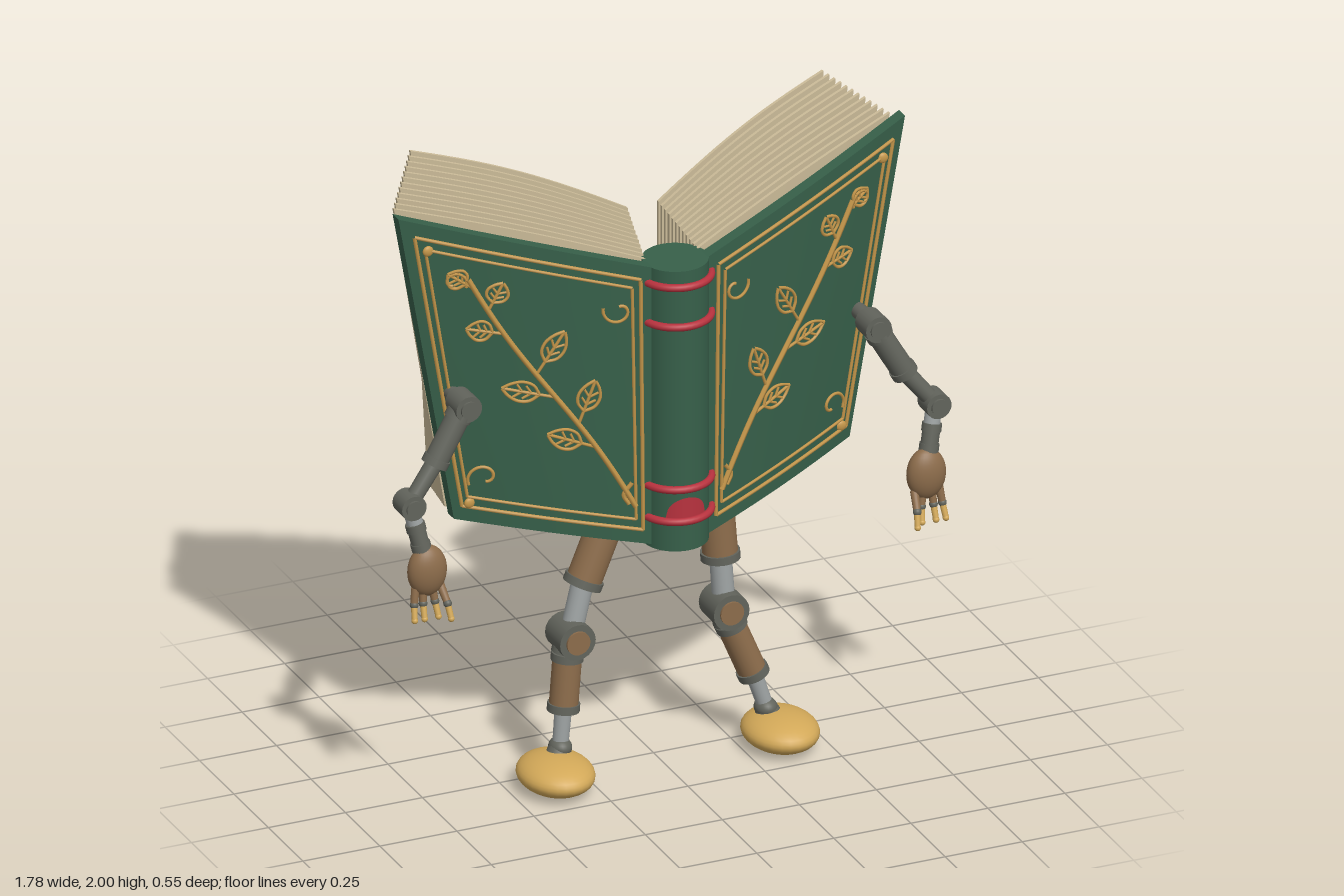
import * as THREE from 'three';

const mat = (name, color) => {
  const m = new THREE.MeshStandardMaterial({ color });
  m.name = name;
  return m;
};
const V = (x, y, z) => new THREE.Vector3(x, y, z);
const mix = THREE.MathUtils.lerp;

export function createModel() {
  const model = new THREE.Group();
  model.name = 'walkingBook';
  const green = mat('coverGreen', 0x37604a);
  const gold = mat('ornamentGold', 0xc4964a);
  const brass = mat('footBrass', 0xd2a858);
  const red = mat('bandRed', 0xb8323e);
  const cream = mat('pageCream', 0xcdbd9a);
  const wood = mat('limbBrown', 0x8c6c4b);
  const iron = mat('jointGrey', 0x62645c);
  const steel = mat('rodSteel', 0x9da2a2);

  const add = (parent, geo, material, name) => {
    const m = new THREE.Mesh(geo, material);
    m.name = name;
    parent.add(m);
    return m;
  };
  const part = (name) => {
    const g = new THREE.Group();
    g.name = name;
    model.add(g);
    return g;
  };
  // round bar between two points, r0 at a and r1 at b
  const bar = (g, a, b, r0, r1, material, name) => {
    const d = b.clone().sub(a);
    const m = add(g, new THREE.CylinderGeometry(r1, r0, d.length(), 20), material, name);
    m.position.copy(a).add(b).multiplyScalar(0.5);
    m.quaternion.setFromUnitVectors(V(0, 1, 0), d.normalize());
    return m;
  };
  const ball = (g, p, rx, ry, rz, material, name) => {
    const m = add(g, new THREE.SphereGeometry(1, 28, 18), material, name);
    m.scale.set(rx, ry, rz);
    m.position.copy(p);
    return m;
  };
  // barrel with a collar at each end
  const sleeve = (g, a, b, r, material, name) => {
    bar(g, a, b, r, r, material, name);
    const d = b.clone().sub(a).normalize().multiplyScalar(0.025);
    bar(g, a, a.clone().add(d), r * 1.12, r * 1.12, iron, name + 'TopCollar');
    bar(g, b.clone().sub(d), b, r * 1.12, r * 1.12, iron, name + 'BottomCollar');
  };
  // hinge drum with its axis along z
  const drum = (g, p, r, depth, cap, name) => {
    const h = V(0, 0, depth / 2), e = V(0, 0, depth / 2 + 0.007);
    bar(g, p.clone().sub(h), p.clone().add(h), r, r, iron, name);
    bar(g, p.clone().sub(e), p.clone().add(e), r * 0.65, r * 0.65, cap, name + 'Cap');
  };
  // slab: u runs spine to fore edge, v bottom to top, w back to front
  const slab = (s, map, nu, nv) => {
    const geo = new THREE.BoxGeometry(1, 1, 1, nu, nv, 1);
    const p = geo.attributes.position;
    for (let i = 0; i < p.count; i++) {
      const q = map(0.5 + s * p.getX(i), 0.5 + p.getY(i), 0.5 + p.getZ(i));
      p.setXYZ(i, s * q.x, q.y, q.z);
    }
    geo.computeVertexNormals();
    return geo;
  };

  // spine with raised bands
  const spine = part('spine');
  add(spine, new THREE.CylinderGeometry(0.1, 0.1, 0.92, 40), green, 'spineBarrel').position.set(0, 1.24, 0.158);
  for (const y of [1.65, 1.52, 0.985, 0.88]) {
    const band = add(spine, new THREE.TorusGeometry(0.107, 0.012, 10, 40), red, 'spineBand');
    band.rotation.x = Math.PI / 2;
    band.position.set(0, y, 0.158);
  }
  // red domed patch between the lower bands
  const patch = new THREE.CylinderGeometry(0.103, 0.103, 0.06, 20, 1, true, -0.7, 1.3);
  const pp = patch.attributes.position;
  for (let i = 0; i < pp.count; i++) {
    const t = (Math.atan2(pp.getX(i), pp.getZ(i)) + 0.05) / 0.65;
    if (pp.getY(i) > 0) pp.setY(i, -0.03 + 0.065 * Math.sqrt(Math.max(0, 1 - t * t)));
  }
  red.side = THREE.DoubleSide;
  add(spine, patch, red, 'spinePatch').position.set(0, 0.92, 0.158);

  for (const s of [1, -1]) {
    const side = s > 0 ? 'left' : 'right';
    const zOut = s > 0 ? -0.03 : 0.005;
    const cover = (u, v, w) => V(
      0.09 + u * (0.56 + 0.18 * v),
      mix(0.79 + 0.11 * u, 1.7 + 0.22 * u, v),
      mix(0.195, zOut, u) + 0.012 * Math.sin(Math.PI * u) - 0.043 * (1 - w));
    add(model, slab(s, cover, 12, 8), green, side + 'Cover');

    // fanned sheets, t = 0 open page, t = 1 against the cover
    const pages = part(side + 'Pages');
    const count = 12;
    for (let i = 0; i < count; i++) {
      const t = i / (count - 1);
      const sheet = (u, v, w) => V(
        mix(mix(0.05, 0.085, t), mix(mix(0.62, 0.64, t), mix(0.67, 0.805, t), v), u),
        mix(mix(mix(0.88, 0.8, t), 0.9, u), mix(mix(1.77, 1.7, t), mix(1.995, 1.91, t), u), v)
          + 0.025 * Math.sin(Math.PI * u) * (1 - 0.6 * t),
        mix(mix(-0.08, 0.125, t), mix(mix(-0.25, -0.09, t), mix(-0.27, -0.09, t), v), u) + 0.011 * (w - 0.5));
      add(pages, slab(s, sheet, 14, 4), cream, 'sheet');
    }

    // gilded relief, drawn in front-plane x, y and laid on the cover
    const gilt = part(side + 'Gilding');
    const line = (pts, r, name) => add(gilt, new THREE.TubeGeometry(
      new THREE.CatmullRomCurve3(pts, false, 'centripetal'), pts.length * 4, r, 6), gold, name);
    const lay = (x, y) => {
      let u = 0.5, v = 0.5;
      for (let k = 0; k < 8; k++) {
        u = (x - 0.09) / (0.56 + 0.18 * v);
        v = (y - 0.79 - 0.11 * u) / (0.91 + 0.11 * u);
      }
      const q = cover(u, v, 1);
      return V(s * q.x, q.y, q.z + 0.003);
    };
    // double frame
    for (const [a, r] of [[0.05, 0.006], [0.085, 0.005]]) {
      const c = [[a, a], [1 - a, a], [1 - a, 1 - a], [a, 1 - a], [a, a]];
      for (let k = 0; k < 4; k++) {
        const pts = [];
        for (let j = 0; j <= 6; j++) {
          const q = cover(mix(c[k][0], c[k + 1][0], j / 6), mix(c[k][1], c[k + 1][1], j / 6), 1);
          pts.push(V(s * q.x, q.y, q.z + 0.003));
        }
        line(pts, r, 'frameLine');
      }
    }
    // corner studs
    for (const [x, y] of [[0.745, 1.81], [0.61, 0.955]])
      ball(gilt, lay(x, y), 0.017, 0.017, 0.009, gold, 'cornerStud');
    // scrolls
    const scroll = (x, y, r, start, turn) => {
      const pts = [];
      for (let j = 0; j <= 12; j++) {
        const a = start + turn * j * 0.42, q = r * (1 - j / 16);
        pts.push(lay(x + q * Math.cos(a), y + q * Math.sin(a)));
      }
      line(pts, 0.005, 'scroll');
    };
    scroll(0.19, 1.57, 0.05, 0.3, -1);
    scroll(0.57, 1.04, 0.05, -0.5, 1);
    scroll(0.67, 1.7, 0.04, 3.6, -1);
    // branch and leaves
    const stem = (t) => [mix(0.14, 0.63, t) - 0.012 * Math.sin(t * 6.28), mix(0.92, 1.71, t)];
    line(Array.from({ length: 11 }, (_, j) => lay(...stem(j / 10))), 0.009, 'branch');
    line([lay(0.15, 1.0), lay(0.175, 0.96), lay(0.16, 0.93)], 0.007, 'branchFoot');
    const leaf = (t, angle, len) => {
      const [x0, y0] = stem(t), c = Math.cos(angle), n = Math.sin(angle);
      const at = (a, b) => lay(x0 + a * c - b * n, y0 + a * n + b * c);
      line([at(0, 0), at(len * 0.5, 0), at(len, 0)], 0.005, 'leafRib');
      for (const k of [1, -1]) {
        line([at(len * 0.3, 0), at(len * 0.45, k * 0.026), at(len * 0.65, k * 0.032),
          at(len * 0.85, k * 0.02), at(len, 0)], 0.005, 'leafEdge');
        for (const q of [0.45, 0.62])
          line([at(len * q, 0), at(len * (q + 0.14), k * 0.022)], 0.004, 'leafVein');
      }
    };
    for (const [t, a, l] of [[0.26, 0.35, 0.15], [0.36, 1.9, 0.15], [0.48, 0.25, 0.16],
      [0.58, 2.1, 0.16], [0.76, 0.2, 0.11], [0.86, 2.0, 0.1], [0.96, 0.6, 0.09]]) leaf(t, a, l);

    // arm
    const arm = part(side + 'Arm');
    const A = (x, y, z) => V(s * x, y, z);
    const elbow = A(0.852, 1.045, 0.135);
    bar(arm, A(0.665, 1.325, -0.02), A(0.665, 1.325, 0.1), 0.025, 0.025, iron, 'shoulderPeg');
    drum(arm, A(0.665, 1.325, 0.11), 0.042, 0.08, iron, 'shoulder');
    sleeve(arm, A(0.675, 1.305, 0.11), A(0.765, 1.15, 0.117), 0.037, iron, 'upperArm');
    bar(arm, A(0.76, 1.16, 0.117), elbow, 0.027, 0.025, iron, 'upperArmRod');
    drum(arm, elbow, 0.04, 0.07, iron, 'elbow');
    bar(arm, elbow, A(0.825, 0.92, 0.155), 0.025, 0.025, steel, 'forearmRod');
    sleeve(arm, A(0.84, 0.985, 0.145), A(0.822, 0.9, 0.158), 0.027, iron, 'forearm');
    ball(arm, A(0.81, 0.835, 0.168), 0.062, 0.082, 0.042, wood, 'palm');
    [[0.77, 0.757], [0.797, 0.785], [0.826, 0.83], [0.85, 0.862]].forEach(([x0, x1], k) => {
      const z = 0.18 + (k === 0 ? 0.03 : 0);
      const a = A(x0, 0.785, 0.172), b = A(mix(x0, x1, 0.6), 0.735, z), c = A(x1, 0.69, z + 0.015);
      bar(arm, a, b, 0.013, 0.011, wood, 'fingerBase');
      ball(arm, b, 0.013, 0.013, 0.013, iron, 'knuckle');
      bar(arm, b, c, 0.01, 0.009, brass, 'fingerTip');
      ball(arm, c, 0.01, 0.01, 0.01, brass, 'fingerEnd');
    });
  }

  // legs: hip, upper sleeve end, knee, lower sleeve start and end, ankle, foot
  const legs = [
    ['leftLeg', [0.185, 0.86], [0.2, 0.62], [0.207, 0.465], [0.222, 0.415], [0.3, 0.225], [0.335, 0.115], 0.362],
    ['rightLeg', [-0.145, 0.86], [-0.25, 0.62], [-0.292, 0.465], [-0.302, 0.415], [-0.32, 0.23], [-0.332, 0.115], -0.367],
  ];
  for (const [name, hip, up, kn, lo, sh, an, footX] of legs) {
    const leg = part(name);
    const P = ([x, y], z) => V(x, y, z);
    const knee = P(kn, 0.05), ankle = P(an, 0.065);
    sleeve(leg, P(hip, 0.03), P(up, 0.04), 0.054, wood, 'thigh');
    bar(leg, P(up, 0.04), knee, 0.034, 0.034, steel, 'thighRod');
    drum(leg, knee, 0.058, 0.11, wood, 'knee');
    sleeve(leg, P(lo, 0.052), P(sh, 0.06), 0.044, wood, 'shin');
    bar(leg, knee, P(lo, 0.052), 0.045, 0.05, iron, 'kneeCollar');
    bar(leg, P(sh, 0.06), ankle, 0.026, 0.024, steel, 'shinRod');
    ball(leg, ankle, 0.035, 0.03, 0.04, iron, 'ankle');
    bar(leg, ankle, V(mix(an[0], footX, 0.4), 0.075, 0.075), 0.034, 0.045, iron, 'ankleBase');
    ball(leg, V(footX, 0.056, 0.11), 0.114, 0.056, 0.14, brass, 'foot');
  }
  return model;
}
